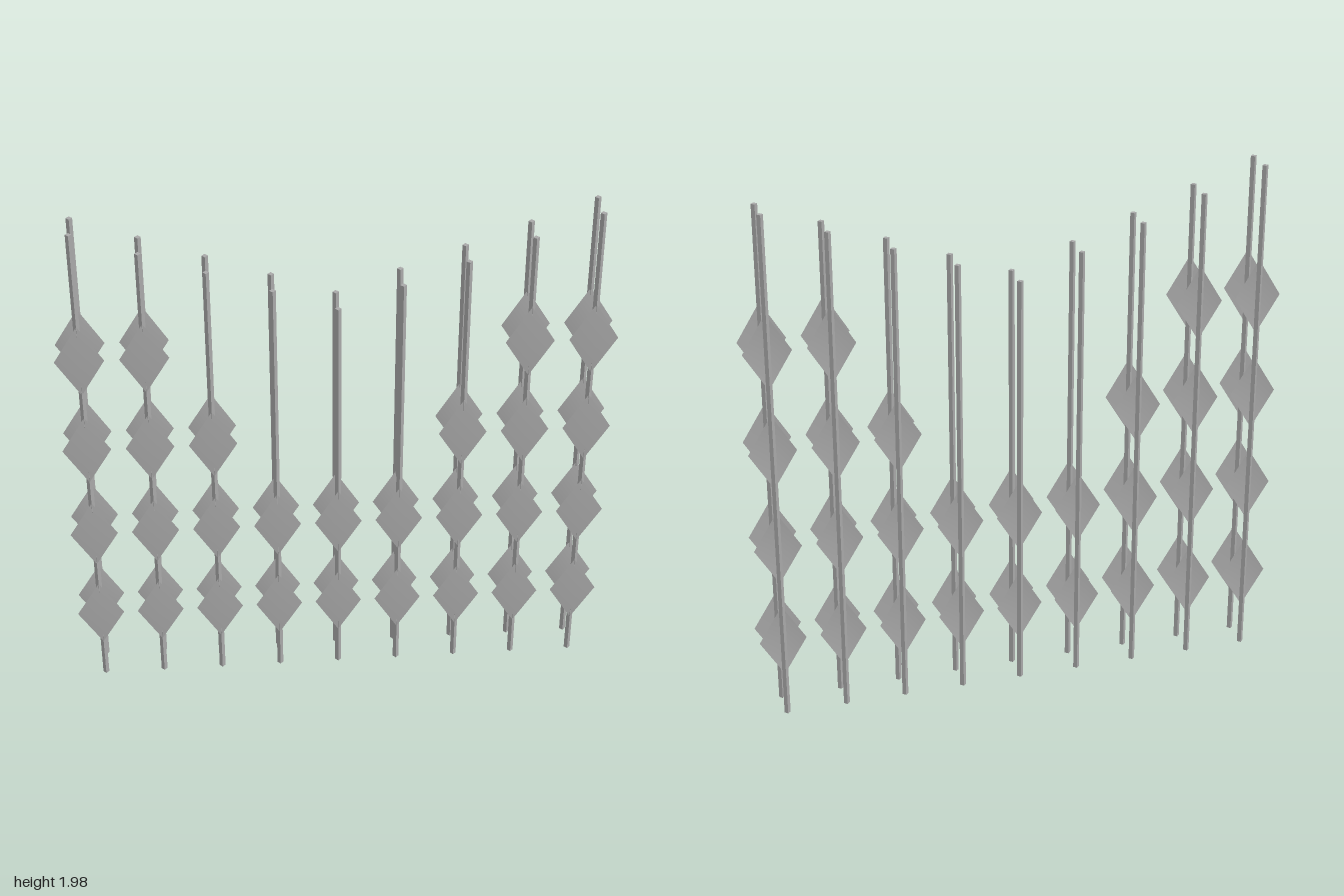
import * as THREE from 'three';

const SPACING = 0.228, ROD_R = 0.0115;
const HALF_W = 0.088, HALF_H = 0.145;

// Shallow diamond-shaped shell, raised toward +z at its centre
function diamondGeometry(depth) {
  const g = new THREE.BufferGeometry();
  g.setAttribute('position', new THREE.Float32BufferAttribute([
    0, 0, depth,
    HALF_W, 0, 0,
    0, HALF_H, 0,
    -HALF_W, 0, 0,
    0, -HALF_H, 0,
  ], 3));
  g.setIndex([0, 1, 2, 0, 2, 3, 0, 3, 4, 0, 4, 1]);
  g.computeVertexNormals();
  return g;
}

export function createModel() {
  const model = new THREE.Group();
  model.name = 'diamondRailing';
  const steel = new THREE.MeshStandardMaterial({ color: 0xa8a8a8, side: THREE.DoubleSide });
  steel.name = 'grey steel';

  // Two parallel rows of bars; the rear row has deeper diamonds
  const rows = [
    { name: 'front', z: 0.0545, edge: 0.0095, depth: 0.006 },
    { name: 'back', z: -0.056, edge: 0.008, depth: 0.017 },
  ];
  const diamondCounts = [2, 2, 3, 4, 4]; // from the middle bar outward

  for (const row of rows) {
    const group = new THREE.Group();
    group.name = row.name + 'Row';
    group.position.z = row.z;
    const diamondGeo = diamondGeometry(row.depth);

    for (let i = -4; i <= 4; i++) {
      const step = Math.abs(i);
      const height = 1.642 + 0.0855 * step;
      const picket = new THREE.Group();
      picket.name = 'picket';
      picket.position.x = i * SPACING;

      // Square bar turned corner-forward
      const geo = new THREE.CylinderGeometry(ROD_R, ROD_R, height, 4).toNonIndexed();
      geo.computeVertexNormals();
      const bar = new THREE.Mesh(geo, steel);
      bar.name = 'bar';
      bar.position.y = height / 2;
      picket.add(bar);

      // Diamonds stacked up the bar
      for (let k = 0; k < diamondCounts[step]; k++) {
        const diamond = new THREE.Mesh(diamondGeo, steel);
        diamond.name = 'diamond';
        diamond.position.set(0, 0.31 + 0.388 * k, row.edge);
        picket.add(diamond);
      }
      group.add(picket);
    }
    model.add(group);
  }
  return model;
}
